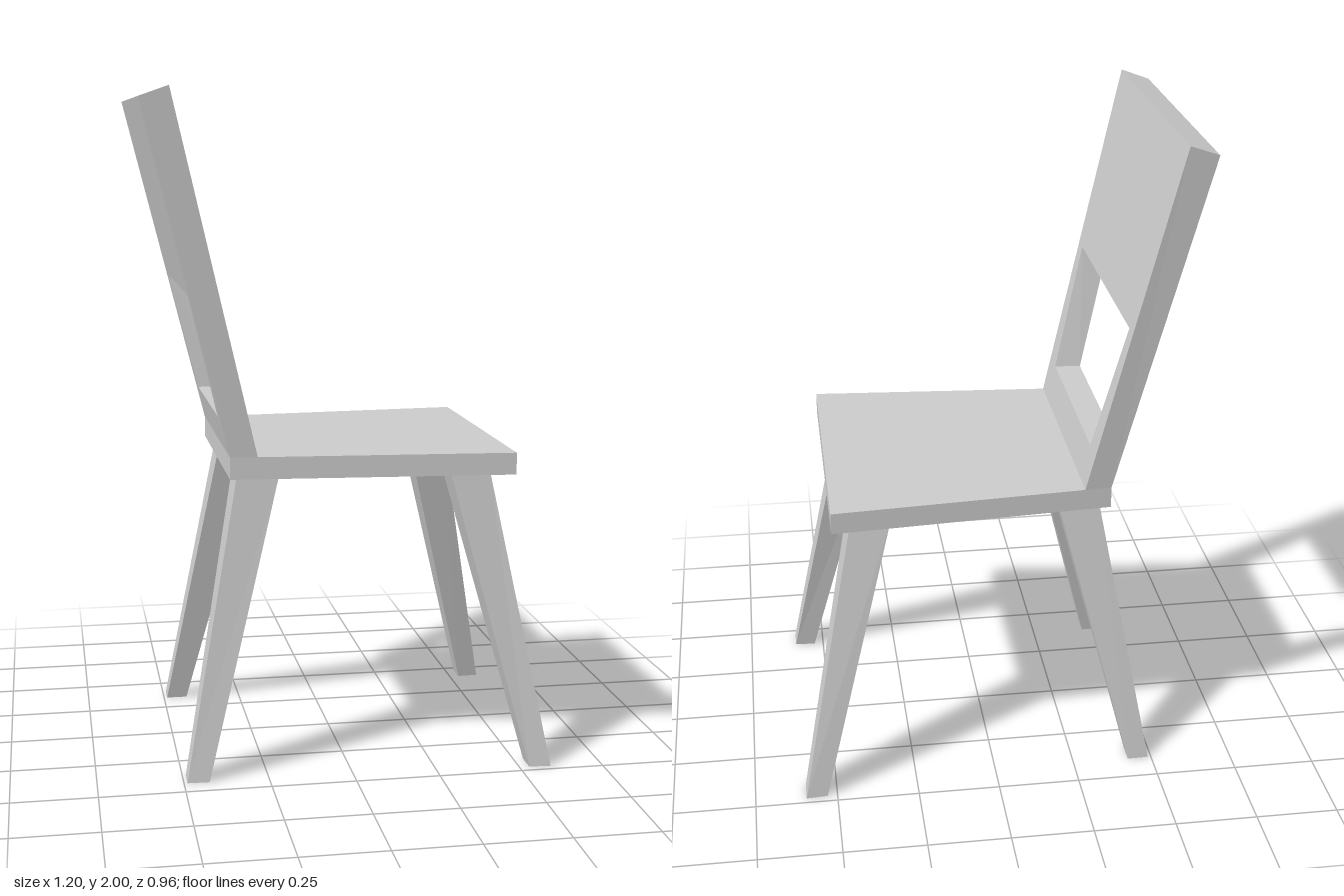
import * as THREE from 'three';

// Geometry from four-cornered faces, each listed counter-clockwise from outside
function fromQuads(quads) {
  const positions = [];
  for (const [a, b, c, d] of quads) positions.push(...a, ...b, ...c, ...a, ...c, ...d);
  const geometry = new THREE.BufferGeometry();
  geometry.setAttribute('position', new THREE.Float32BufferAttribute(positions, 3));
  geometry.computeVertexNormals();
  return geometry;
}

// Faces joining two matching four-point loops
function band(a, b) {
  return a.map((p, i) => {
    const j = (i + 1) % a.length;
    return [p, a[j], b[j], b[i]];
  });
}

// Solid between a lower and an upper loop
function prism(lower, upper) {
  return fromQuads([...band(lower, upper), upper, [...lower].reverse()]);
}

// Horizontal loop at height y; z limits may differ at the two x ends
function level(y, xBack, xFront, zBack, zFront = zBack) {
  return [
    [xFront, y, zFront[1]], [xFront, y, zFront[0]],
    [xBack, y, zBack[0]], [xBack, y, zBack[1]],
  ];
}

// Upright loop across the backrest: [x, y, zMin, zMax] at its bottom and top
function upright([x0, y0, a0, b0], [x1, y1, a1, b1]) {
  return [[x0, y0, b0], [x0, y0, a0], [x1, y1, a1], [x1, y1, b1]];
}

export function createModel() {
  const chair = new THREE.Group();
  chair.name = 'chair';
  const grey = new THREE.MeshStandardMaterial({ color: 0xcccccc });
  grey.name = 'light grey';

  function add(name, geometry) {
    const mesh = new THREE.Mesh(geometry, grey);
    mesh.name = name;
    chair.add(mesh);
  }

  // Seat board, widening towards the front
  const seatBack = [-0.366, 0.373], seatFront = [-0.427, 0.435];
  add('seat', prism(
    level(0.885, -0.35, 0.485, seatBack, seatFront),
    level(0.95, -0.35, 0.485, seatBack, seatFront),
  ));

  // Leaning backrest with a tapered opening
  const outerFront = upright([-0.27, 0.95, -0.372, 0.38], [-0.515, 2, -0.441, 0.449]);
  const outerBack = upright([-0.35, 0.95, -0.366, 0.373], [-0.6, 1.97, -0.435, 0.441]);
  const holeFront = upright([-0.296, 1.06, -0.298, 0.305], [-0.387, 1.45, -0.354, 0.362]);
  const holeBack = upright([-0.377, 1.06, -0.292, 0.299], [-0.465, 1.42, -0.348, 0.357]);
  add('backrest', fromQuads([
    ...band(outerBack, outerFront),
    ...band(outerFront, holeFront),
    ...band(holeFront, holeBack),
    ...band(holeBack, outerBack),
  ]));

  // Splayed legs, tapering to the floor: x and z limits at foot and top
  const legs = [
    ['frontLeftLeg', [0.53, 0.595], [0.405, 0.472], [0.41, 0.477], [0.305, 0.425], [0.235, 0.36]],
    ['frontRightLeg', [0.53, 0.595], [-0.475, -0.407], [-0.48, -0.41], [0.305, 0.425], [-0.355, -0.23]],
    ['backLeftLeg', [-0.49, -0.425], [0.373, 0.435], [0.373, 0.437], [-0.325, -0.2], [0.2, 0.325]],
    ['backRightLeg', [-0.49, -0.425], [-0.408, -0.345], [-0.41, -0.345], [-0.325, -0.2], [-0.292, -0.167]],
  ];
  for (const [name, footX, footBackZ, footFrontZ, topX, topZ] of legs) {
    add(name, prism(
      level(0, ...footX, footBackZ, footFrontZ),
      level(0.886, ...topX, topZ),
    ));
  }

  return chair;
}
